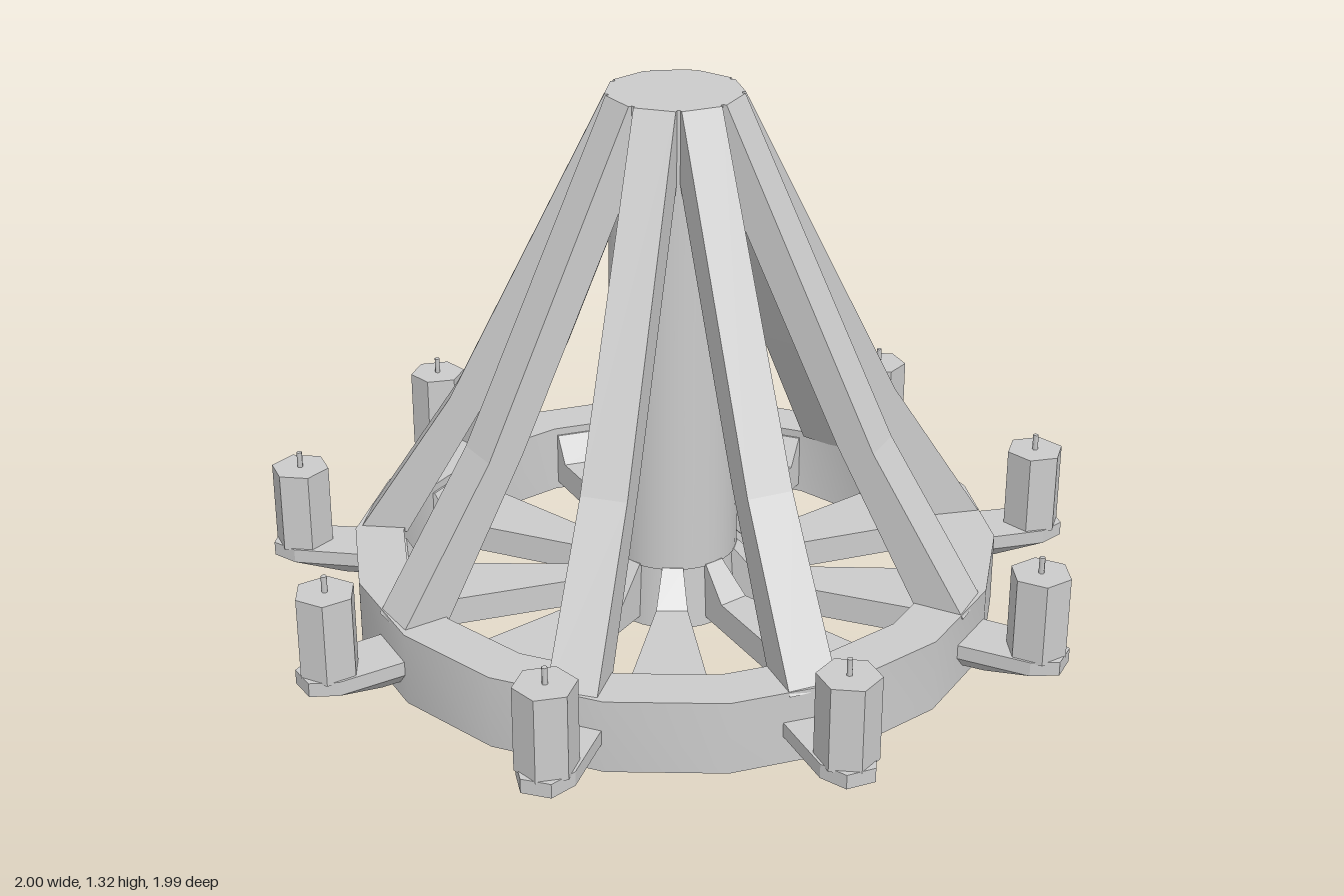
import * as THREE from 'three';
import { toCreasedNormals } from 'three/addons/utils/BufferGeometryUtils.js';

const grey = new THREE.MeshStandardMaterial({ color: 0xcccccc });
const COUNT = 9;

function part(parent, name, geometry) {
  const mesh = new THREE.Mesh(geometry, grey);
  mesh.name = name;
  parent.add(mesh);
  return mesh;
}

function shapeOf(points) {
  return new THREE.Shape(points.map(([x, y]) => new THREE.Vector2(x, y)));
}

// Moves every vertex by a rule, then restores flat normals
function reshape(geometry, rule) {
  const p = geometry.attributes.position;
  for (let i = 0; i < p.count; i++) p.setXYZ(i, ...rule(p.getX(i), p.getY(i), p.getZ(i)));
  geometry.computeVertexNormals();
  return geometry;
}

// Side profile (radius, height) extruded sideways to a half width that varies
function radialBar(profile, halfWidth) {
  const g = new THREE.ExtrudeGeometry(shapeOf(profile), { depth: 2, bevelEnabled: false });
  return reshape(g, (r, y, z) => [r, y, (z - 1) * halfWidth(r)]);
}

// Boat-shaped bracket: full outline above, narrowed toward its underside
function bracketGeometry() {
  const outline = [[0.74, -0.072], [0.95, -0.068], [1.01, -0.035], [1.01, 0.035], [0.95, 0.068], [0.74, 0.072]];
  const g = new THREE.ExtrudeGeometry(shapeOf(outline), { depth: 0.07, steps: 2, bevelEnabled: false });
  g.rotateX(-Math.PI / 2);
  return reshape(g, (r, y, z) => (y < 0.01
    ? [r > 0.8 ? r - 0.12 : r, 0.035, z * 0.55]
    : [r, y + 0.035, z]));
}

export function createModel() {
  const model = new THREE.Group();
  model.name = 'wheelChandelier';
  const body = new THREE.Group();
  body.name = 'body';
  body.position.set(0.01, 0, 0.02);
  model.add(body);

  // Eighteen-sided rim
  const rimProfile = [[0.67, 0], [0.79, 0], [0.79, 0.18], [0.67, 0.18], [0.67, 0]]
    .map(([x, y]) => new THREE.Vector2(x, y));
  part(body, 'rim', toCreasedNormals(new THREE.LatheGeometry(rimProfile, 18, Math.PI / 2), 0.6));

  // Central shaft and hub
  part(body, 'shaft', new THREE.CylinderGeometry(0.155, 0.155, 1.16, 32).translate(0, 0.74, 0));
  part(body, 'hub', new THREE.CylinderGeometry(0.15, 0.16, 0.165, 32).translate(0, 0.0825, 0));

  // Shared geometry for the repeated parts
  const strut = radialBar(
    [[0.06, 1.32], [0.45, 0.54], [0.66, 0.17], [0.78, 0.17], [0.54, 0.54], [0.155, 1.32]],
    (r) => 0.047 + 0.015 * r);
  const spoke = radialBar(
    [[0.13, 0.02], [0.675, 0.02], [0.675, 0.16], [0.655, 0.16], [0.615, 0.09], [0.23, 0.09], [0.155, 0.165], [0.13, 0.165]],
    (r) => 0.165 * r);
  const bracket = bracketGeometry();
  const candle = toCreasedNormals(
    new THREE.CylinderGeometry(0.072, 0.072, 0.205, 6).rotateY(Math.PI / 2), 0.3).translate(0.94, 0.2025, 0);
  const wick = new THREE.CylinderGeometry(0.007, 0.007, 0.05, 6).translate(0.94, 0.32, 0);

  for (let i = 0; i < COUNT; i++) {
    const turn = (i / COUNT) * Math.PI * 2;

    // Sloping strut with its candle bracket
    const arm = new THREE.Group();
    arm.name = 'arm';
    arm.rotation.y = THREE.MathUtils.degToRad(14.4) + turn;
    body.add(arm);
    part(arm, 'strut', strut);
    part(arm, 'bracket', bracket);
    part(arm, 'candle', candle);
    part(arm, 'wick', wick);

    // Wedge-shaped floor spoke between the struts
    part(body, 'spoke', spoke).rotation.y = THREE.MathUtils.degToRad(-10) + turn;
  }
  return model;
}
